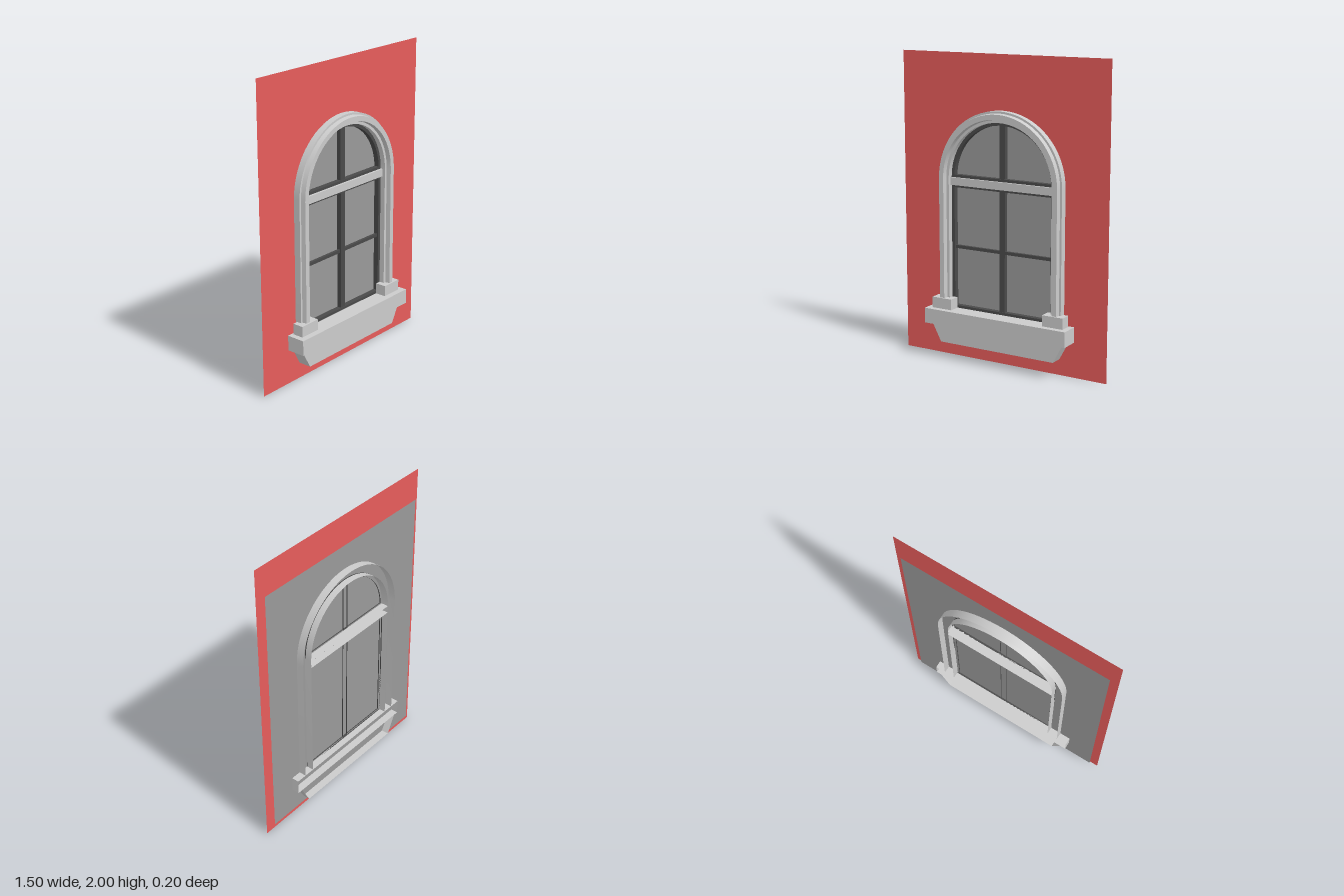
import * as THREE from 'three';
import { toCreasedNormals } from 'three/addons/utils/BufferGeometryUtils.js';

const SPRING = 1.2; // height where the arch starts
const SILL_TOP = 0.33;
const BACK = -0.1;

const paint = (color) => new THREE.MeshStandardMaterial({ color, side: THREE.DoubleSide });

function polygon(points, Type = THREE.Shape) {
  return new Type(points.map(([x, y]) => new THREE.Vector2(x, y)));
}

const rect = (x0, y0, x1, y1, Type) => polygon([[x0, y0], [x1, y0], [x1, y1], [x0, y1]], Type);

// Circle segment above the line y = base, with its centre at the spring line
function archSegment(radius, base, Type = THREE.Shape) {
  const a = Math.asin((base - SPRING) / radius);
  const path = new Type();
  path.absarc(0, SPRING, radius, a, Math.PI - a, false);
  path.closePath();
  return path;
}

// Front face plus side walls, open at the back
function openBack(shape, zBack, zFront) {
  const solid = new THREE.ExtrudeGeometry(shape, { depth: zFront - zBack, bevelEnabled: false, curveSegments: 32 });
  const skip = (solid.groups[0].count / 2) * 3; // rear lid comes first
  const geo = new THREE.BufferGeometry();
  geo.setAttribute('position', new THREE.BufferAttribute(solid.attributes.position.array.slice(skip), 3));
  geo.translate(0, 0, zBack);
  return toCreasedNormals(geo, 0.5);
}

// Sweep a (radius, z) profile up one jamb, round the arch and down the other
function archSweep(profile, steps) {
  const positions = [], index = [], n = profile.length;
  const stations = [[0, SILL_TOP]];
  for (let i = 0; i <= steps; i++) stations.push([(Math.PI * i) / steps, SPRING]);
  stations.push([Math.PI, SILL_TOP]);
  stations.forEach(([angle, y], u) => {
    profile.forEach(([r, z], v) => {
      positions.push(r * Math.cos(angle), y + r * Math.sin(angle), z);
      if (u < stations.length - 1 && v < n - 1) {
        const a = u * n + v, b = a + n;
        index.push(a, b, a + 1, b, b + 1, a + 1);
      }
    });
  });
  const geo = new THREE.BufferGeometry();
  geo.setAttribute('position', new THREE.Float32BufferAttribute(positions, 3));
  geo.setIndex(index);
  return toCreasedNormals(geo, 0.4);
}

export function createModel() {
  const model = new THREE.Group();
  model.name = 'archedWindow';
  const stone = paint(0xcccccc), brick = paint(0xe65c5b), dark = paint(0x4a4a4a), pane = paint(0x999999);

  const add = (name, geometry, material, parent = model) => {
    const mesh = new THREE.Mesh(geometry, material);
    mesh.name = name;
    parent.add(mesh);
    return mesh;
  };

  // Wall sheet with an arched opening
  const wallShape = rect(-0.75, 0, 0.75, 2);
  const opening = new THREE.Path();
  opening.moveTo(-0.41, 0.28);
  opening.lineTo(0.41, 0.28);
  opening.absarc(0, SPRING, 0.41, 0, Math.PI, false);
  opening.closePath();
  wallShape.holes.push(opening);
  add('wall', new THREE.ShapeGeometry(wallShape, 32), brick).position.z = -0.025;

  // One glass sheet behind the wall
  add('glass', new THREE.PlaneGeometry(1.4, 1.755), pane).position.set(0, 0.935, -0.05);

  // Moulded stone surround
  add('surround', archSweep([
    [0.45, BACK], [0.45, 0.02], [0.437, 0.02], [0.432, 0.05],
    [0.4, 0.05], [0.395, 0.02], [0.377, 0.02], [0.377, BACK],
  ], 32), stone);

  // Transom between the two sashes
  add('transom', openBack(rect(-0.377, 1.15, 0.377, 1.2), BACK, 0), stone);

  // Dark sashes and glazing bars
  const sashes = new THREE.Group();
  sashes.name = 'sashes';
  model.add(sashes);
  const upper = archSegment(0.377, SPRING);
  upper.holes.push(archSegment(0.356, 1.217, THREE.Path));
  add('upperSash', openBack(upper, -0.057, -0.015), dark, sashes);
  const lower = rect(-0.377, SILL_TOP, 0.377, 1.15);
  lower.holes.push(rect(-0.356, 0.347, 0.356, 1.135, THREE.Path));
  add('lowerSash', openBack(lower, -0.057, -0.015), dark, sashes);
  add('upperMullion', openBack(rect(-0.02, 1.21, 0.02, 1.56), -0.057, -0.02), dark, sashes);
  add('lowerMullion', openBack(rect(-0.02, 0.34, 0.02, 1.14), -0.057, -0.02), dark, sashes);
  for (const side of [-1, 1]) {
    add('glazingBar', new THREE.BoxGeometry(0.338, 0.02, 0.02), dark, sashes).position.set(side * 0.188, 0.74, -0.035);
  }

  // Sill, tapered apron and the blocks under the jambs
  add('sill', openBack(rect(-0.522, 0.23, 0.522, SILL_TOP), BACK, 0.1), stone);
  add('apron', openBack(polygon([[-0.42, 0.105], [0.42, 0.105], [0.487, 0.23], [-0.487, 0.23]]), BACK, 0.063), stone);
  for (const side of [-1, 1]) {
    add('jambBlock', new THREE.BoxGeometry(0.146, 0.072, 0.074), stone).position.set(side * 0.412, 0.366, 0.024);
  }

  return model;
}
